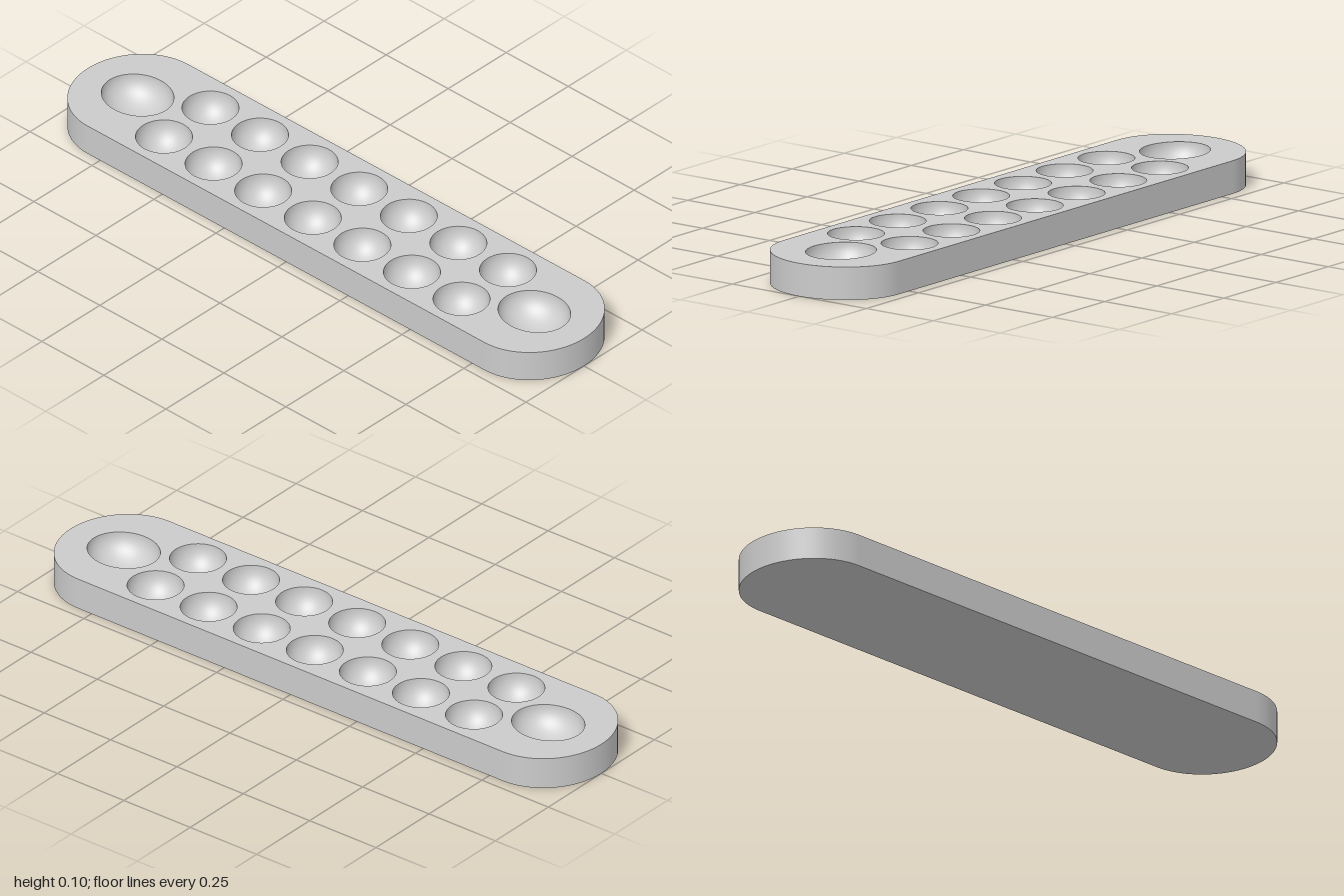
import * as THREE from 'three';

const HEIGHT = 0.1, HALF_STRAIGHT = 0.8, END_X = 0.2, END_Z = 0.215;
const PIT_DEPTH = 0.085, PIT_SEGMENTS = 48, END_SEGMENTS = 40;

export function createModel() {
  const group = new THREE.Group();
  const material = new THREE.MeshStandardMaterial({ color: 0xcccccc });
  const add = (name, geometry) => {
    const mesh = new THREE.Mesh(geometry, material);
    mesh.name = name;
    group.add(mesh);
    return mesh;
  };

  // Pits: two rows of seven, and a larger oval store at each end
  const pits = [];
  for (let i = -3; i <= 3; i++) {
    for (const z of [-0.1, 0.1]) pits.push({ name: 'smallPit', x: i * 0.2, z, rx: 0.084, rz: 0.084 });
  }
  for (const x of [-0.8, 0.8]) pits.push({ name: 'endStore', x, z: 0, rx: 0.113, rz: 0.1 });

  // Board outline: two rounded ends joined by straight sides
  const outline = [], normals = [];
  for (const side of [1, -1]) {
    for (let i = 0; i <= END_SEGMENTS; i++) {
      const a = (i / END_SEGMENTS - 0.5) * Math.PI;
      const c = Math.cos(a) * side, s = Math.sin(a) * side;
      outline.push(new THREE.Vector2(side * HALF_STRAIGHT + c * END_X, s * END_Z));
      normals.push(new THREE.Vector2(c / END_X, s / END_Z).normalize());
    }
  }

  // Top face with openings, and solid underside
  const topShape = new THREE.Shape(outline);
  for (const p of pits) {
    const rim = [];
    for (let i = 0; i < PIT_SEGMENTS; i++) {
      const a = (-i / PIT_SEGMENTS) * Math.PI * 2;
      rim.push(new THREE.Vector2(p.x + Math.cos(a) * p.rx, -p.z + Math.sin(a) * p.rz));
    }
    topShape.holes.push(new THREE.Path(rim));
  }
  add('boardTop', new THREE.ShapeGeometry(topShape).rotateX(-Math.PI / 2).translate(0, HEIGHT, 0));
  add('boardUnderside', new THREE.ShapeGeometry(new THREE.Shape(outline)).rotateX(Math.PI / 2));

  // Smooth side wall swept around the outline
  const pos = [], nor = [], index = [], n = outline.length;
  outline.forEach((p, i) => {
    for (const y of [0, HEIGHT]) {
      pos.push(p.x, y, -p.y);
      nor.push(normals[i].x, 0, -normals[i].y);
    }
    const a = i * 2, b = ((i + 1) % n) * 2;
    index.push(a, b, b + 1, a, b + 1, a + 1);
  });
  const wall = new THREE.BufferGeometry();
  wall.setAttribute('position', new THREE.Float32BufferAttribute(pos, 3));
  wall.setAttribute('normal', new THREE.Float32BufferAttribute(nor, 3));
  wall.setIndex(index);
  add('boardSide', wall);

  // Bowl profile runs from rim to bottom so its faces look inward
  const profile = [];
  for (let i = 0; i <= 16; i++) {
    const a = (i / 16) * Math.PI / 2;
    profile.push(new THREE.Vector2(Math.max(0, Math.cos(a)), -Math.sin(a)));
  }
  const bowl = new THREE.LatheGeometry(profile, PIT_SEGMENTS);
  for (const p of pits) {
    const mesh = add(p.name, bowl);
    mesh.scale.set(p.rx, PIT_DEPTH, p.rz);
    mesh.position.set(p.x, HEIGHT, p.z);
  }
  return group;
}
